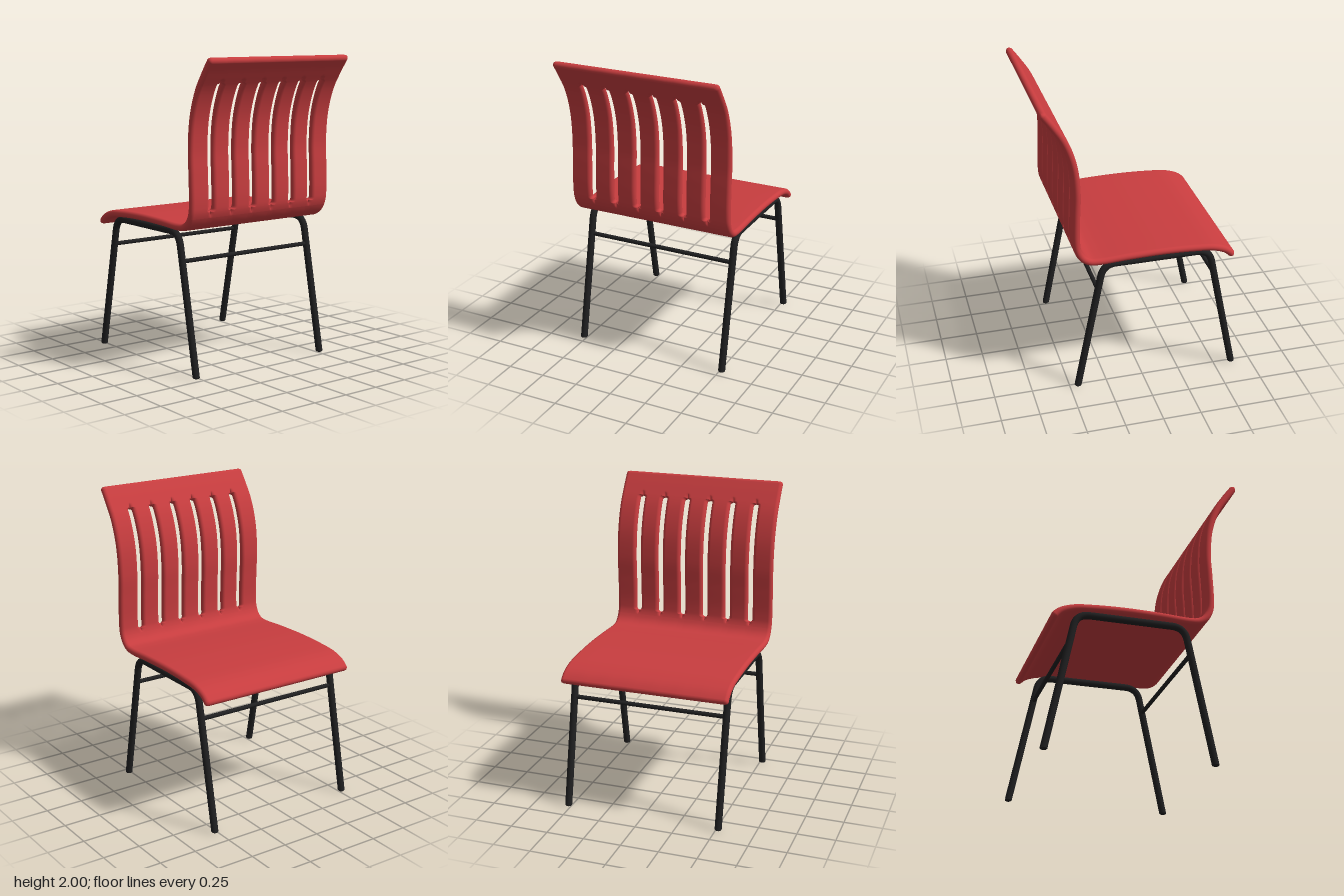
import * as THREE from 'three';
import { mergeVertices } from 'three/addons/utils/BufferGeometryUtils.js';

const HALF_WIDTH = 0.56, HALF_THICK = 0.023, ROUND = 0.024;
const SLOT_RADIUS = 0.017, SLOT_FADE = 0.035;
const SLOTS = [-0.405, -0.243, -0.081, 0.081, 0.243, 0.405];

// Quarter-circle rise from 0 to 1 over the distance r
const rise = (d, r) => {
  const t = Math.min(1, Math.max(0, d / r));
  return Math.sqrt(1 - (1 - t) * (1 - t));
};

// Side profile of the shell as [z, y], from the seat lip to the top of the back
const PROFILE = [
  [-0.592, 0.858], [-0.545, 0.902], [-0.46, 0.934], [-0.33, 0.948], [-0.13, 0.956],
  [0.1, 0.953], [0.3, 0.945], [0.36, 0.953], [0.405, 0.985], [0.433, 1.04], [0.441, 1.11],
  [0.437, 1.28], [0.431, 1.44], [0.449, 1.63], [0.502, 1.79], [0.57, 1.9], [0.637, 1.993],
];

// Bent sheet made of strips whose edges part to leave the rounded slots
function shellGeometry() {
  const curve = new THREE.CatmullRomCurve3(PROFILE.map(([z, y]) => new THREE.Vector3(0, y, z)));
  curve.arcLengthDivisions = 1000;
  const length = curve.getLength();
  const lengthAtHeight = (y) => {
    let u = 0.5;
    while (u < 1 && curve.getPointAt(u).y < y) u += 0.0005;
    return u * length;
  };
  const start = lengthAtHeight(1.05), end = lengthAtHeight(1.85);

  // Rows along the profile, closer together at the rims and slot ends
  const rows = [];
  for (let i = 0; i <= 100; i++) rows.push((length * i) / 100);
  for (let i = 1; i <= 8; i++) {
    const a = (i / 8) * Math.PI / 2;
    const rim = ROUND * (1 - Math.cos(a)), tip = SLOT_RADIUS * (1 - Math.cos(a));
    const fade = (SLOT_FADE * i) / 8;
    rows.push(rim, length - rim, start + tip, end - tip, start - fade, end + fade);
  }
  rows.push(start, end);
  rows.sort((a, b) => a - b);
  const stations = rows.filter((s, i) => i === 0 || s - rows[i - 1] > 1e-4);
  stations[stations.length - 1] = length;

  const slotHalf = (s) => SLOT_RADIUS * rise(Math.min(s - start, end - s), SLOT_RADIUS);
  const groove = (s) =>
    1 - THREE.MathUtils.smoothstep(Math.max(start - s, s - end, 0), 0, SLOT_FADE);

  const positions = [], index = [];
  const steps = 6, cols = 2 * steps + 2;
  for (let k = 0; k <= SLOTS.length; k++) {
    for (const side of [1, -1]) {
      const base = positions.length / 3;
      stations.forEach((s, i) => {
        const p = curve.getPointAt(s / length), t = curve.getTangentAt(s / length);
        const rim = Math.min(s, length - s);
        const outer = HALF_WIDTH - 0.02 * (1 - rise(rim, 0.02));
        const left = k === 0 ? -outer : SLOTS[k - 1] + slotHalf(s);
        const right = k === SLOTS.length ? outer : SLOTS[k] - slotHalf(s);
        const g = groove(s);
        for (let j = 0; j < cols; j++) {
          const onLeft = j <= steps;
          const step = onLeft ? j : cols - 1 - j;
          const d = ROUND * (1 - Math.cos((step / steps) * Math.PI / 2));
          const isOuter = onLeft ? k === 0 : k === SLOTS.length;
          const depth = isOuter ? 1 : g;
          const h = side * HALF_THICK * rise(rim, ROUND) * (1 - depth * (1 - rise(d, ROUND)));
          positions.push(onLeft ? left + d : right - d, p.y + t.z * h, p.z - t.y * h);
          if (i > 0 && j > 0) {
            const c = base + i * cols + j, a = c - cols - 1, b = c - 1, e = c - cols;
            if (side > 0) index.push(a, b, e, e, b, c);
            else index.push(a, e, b, e, c, b);
          }
        }
      });
    }
  }
  const geometry = new THREE.BufferGeometry();
  geometry.setAttribute('position', new THREE.Float32BufferAttribute(positions, 3));
  geometry.setIndex(index);
  const merged = mergeVertices(geometry, 1e-5);
  merged.computeVertexNormals();
  return merged;
}

export function createModel() {
  const red = new THREE.MeshStandardMaterial({ color: 0xc83d3f });
  red.name = 'red shell';
  const black = new THREE.MeshStandardMaterial({ color: 0x202021 });
  black.name = 'black metal';

  const model = new THREE.Group();
  model.name = 'chair';
  const add = (name, geometry, material) => {
    const mesh = new THREE.Mesh(geometry, material);
    mesh.name = name;
    model.add(mesh);
    return mesh;
  };

  add('seatAndBackShell', shellGeometry(), red);

  // Bent tube on each side: back leg, seat rail and front leg in one
  const v = (y, z) => new THREE.Vector3(0, y, z);
  const backFoot = v(0.011, 0.445), backCorner = v(0.905, 0.267);
  const frontCorner = v(0.905, -0.437), frontFoot = v(0.011, -0.62);
  const toward = (a, b, d) => a.clone().add(b.clone().sub(a).setLength(d));
  const bend = 0.085;
  const path = new THREE.CurvePath();
  const backLow = toward(backCorner, backFoot, bend), backHigh = toward(backCorner, frontCorner, bend);
  const frontHigh = toward(frontCorner, backCorner, bend), frontLow = toward(frontCorner, frontFoot, bend);
  path.add(new THREE.LineCurve3(backFoot, backLow));
  path.add(new THREE.QuadraticBezierCurve3(backLow, backCorner, backHigh));
  path.add(new THREE.LineCurve3(backHigh, frontHigh));
  path.add(new THREE.QuadraticBezierCurve3(frontHigh, frontCorner, frontLow));
  path.add(new THREE.LineCurve3(frontLow, frontFoot));
  const tube = new THREE.TubeGeometry(path, 160, 0.023, 16);
  const foot = new THREE.SphereGeometry(0.023, 16, 10);

  for (const [name, x] of [['left', 0.517], ['right', -0.517]]) {
    add(name + 'LegFrame', tube, black).position.x = x;
    for (const p of [backFoot, frontFoot]) {
      const cap = add(name + 'Foot', foot, black);
      cap.position.set(x, p.y, p.z);
      cap.scale.y = 0.48;
    }
  }

  // Thin bars joining the two sides
  for (const [name, z] of [['backCrossbar', 0.303], ['frontCrossbar', -0.474]]) {
    const bar = add(name, new THREE.CylinderGeometry(0.014, 0.014, 1.03, 16), black);
    bar.rotation.z = Math.PI / 2;
    bar.position.set(0, 0.725, z);
  }
  return model;
}
